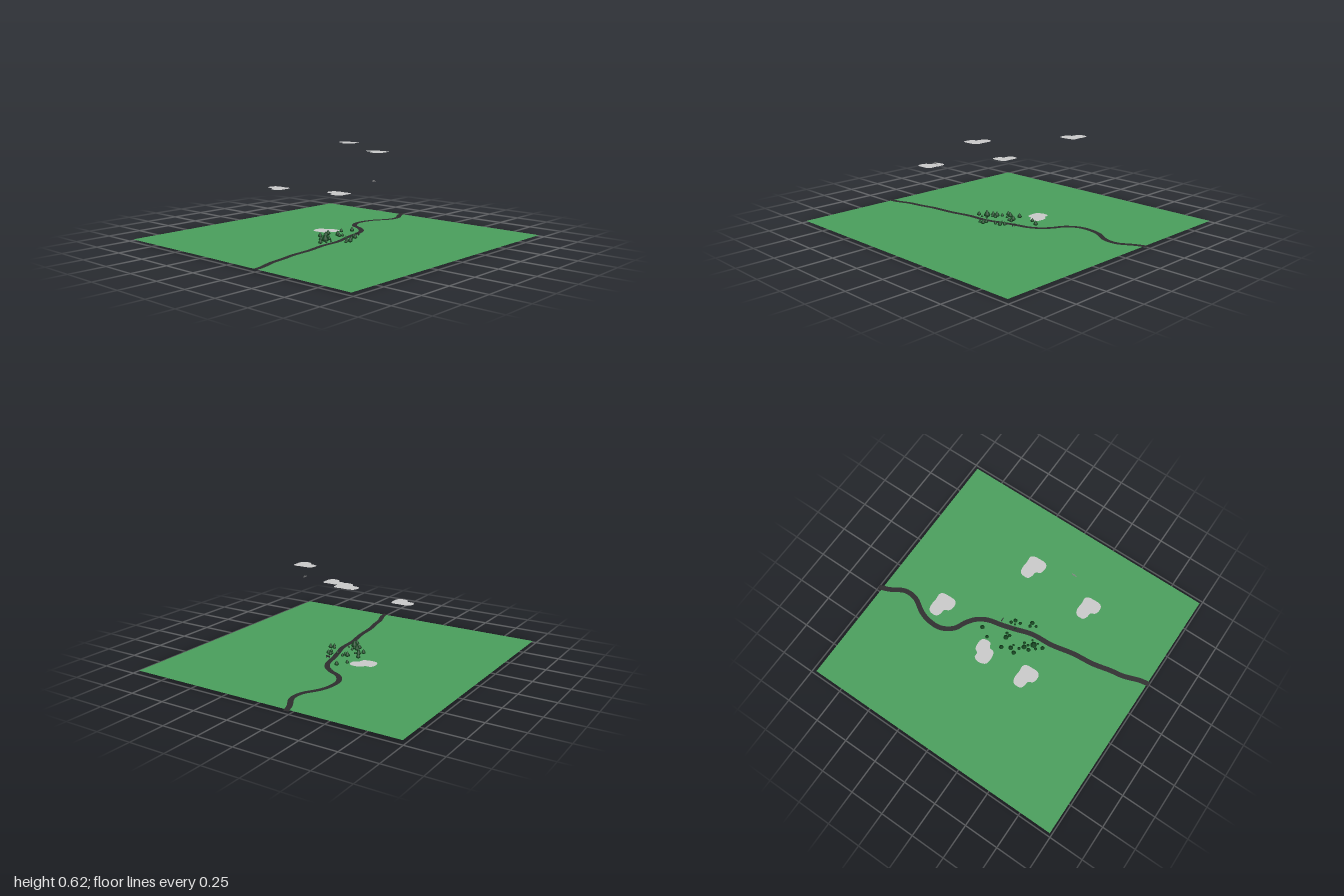
import * as THREE from 'three';

const mat = (name, color, side = THREE.FrontSide) => {
  const m = new THREE.MeshStandardMaterial({ color, side });
  m.name = name;
  return m;
};

const GROUND_Y = 0.01;

export function createModel() {
  const grass = mat('grass green', 0x4a9f5c, THREE.DoubleSide);
  const asphalt = mat('asphalt', 0x2e2c2e, THREE.DoubleSide);
  const cloudGrey = mat('cloud grey', 0xcacaca, THREE.DoubleSide);
  const foliage = mat('dark foliage', 0x14441f);
  const bark = mat('bark', 0x2f241b);
  const metal = mat('metal grey', 0x8a8a8a);

  const model = new THREE.Group();
  model.name = 'landscape';
  const add = (parent, name, geometry, material, x = 0, y = 0, z = 0) => {
    const mesh = new THREE.Mesh(geometry, material);
    mesh.name = name;
    mesh.position.set(x, y, z);
    parent.add(mesh);
    return mesh;
  };

  // Flat square field
  add(model, 'ground', new THREE.PlaneGeometry(1.955, 1.955).rotateX(-Math.PI / 2),
    grass, -0.0025, GROUND_Y, 0.0075);

  // Winding road: a flat ribbon swept along a curve
  const path = new THREE.CatmullRomCurve3([
    [-0.23, -1], [-0.2, -0.92], [-0.145, -0.82], [-0.148, -0.73], [-0.213, -0.615],
    [-0.235, -0.53], [-0.23, -0.44], [-0.175, -0.358], [-0.1, -0.32], [-0.035, -0.27],
    [0.008, -0.2], [0.032, -0.1], [0.06, 0], [0.097, 0.12], [0.108, 0.28], [0.14, 0.44],
    [0.156, 0.6], [0.183, 0.72], [0.2, 0.82], [0.238, 0.93], [0.25, 1],
  ].map(([x, z]) => new THREE.Vector3(x, 0, z)));
  const steps = 100, half = 0.018, positions = [], indices = [];
  for (let i = 0; i <= steps; i++) {
    const p = path.getPointAt(i / steps), t = path.getTangentAt(i / steps);
    for (const s of [-1, 1]) {
      positions.push(p.x + s * half * t.z, 0, THREE.MathUtils.clamp(p.z - s * half * t.x, -1, 1));
    }
    if (i < steps) {
      const a = 2 * i;
      indices.push(a, a + 2, a + 1, a + 1, a + 2, a + 3);
    }
  }
  const ribbon = new THREE.BufferGeometry();
  ribbon.setAttribute('position', new THREE.Float32BufferAttribute(positions, 3));
  ribbon.setIndex(indices);
  ribbon.computeVertexNormals();
  add(model, 'road', ribbon, asphalt, 0, GROUND_Y + 0.003, 0);

  // Flat clouds: outlines as x, z pairs around the cloud centre
  const cloudGeometry = (outline) => {
    const curve = new THREE.CatmullRomCurve3(
      outline.map(([x, z]) => new THREE.Vector3(x, -z, 0)), true);
    const shape = new THREE.Shape(curve.getPoints(48).map((p) => new THREE.Vector2(p.x, p.y)));
    return new THREE.ShapeGeometry(shape).rotateX(-Math.PI / 2);
  };
  const highCloud = cloudGeometry([
    [-0.079, -0.03], [-0.068, -0.053], [-0.035, -0.064], [0.015, -0.062], [0.058, -0.064],
    [0.075, -0.045], [0.079, -0.01], [0.077, 0.042], [0.058, 0.061], [0.025, 0.063],
    [0, 0.053], [-0.016, 0.026], [-0.048, 0.021], [-0.074, 0.008],
  ]);
  const lowCloud = cloudGeometry([
    [-0.083, 0], [-0.07, -0.03], [-0.032, -0.036], [-0.016, -0.06], [0.02, -0.071],
    [0.068, -0.065], [0.083, -0.035], [0.08, 0], [0.048, 0.018], [0.038, 0.055],
    [0, 0.07], [-0.06, 0.066], [-0.08, 0.035],
  ]);
  for (const [x, y, z, geometry] of [
    [-0.25, 0.615, -0.355, highCloud], [0.296, 0.615, -0.018, highCloud],
    [-0.28, 0.355, 0.317, highCloud], [0.339, 0.395, 0.402, highCloud],
    [-0.203, 0.016, -0.085, lowCloud],
  ]) add(model, 'cloud', geometry, cloudGrey, x, y, z);

  // Trees: teardrop crowns on short trunks, scaled by crown radius
  const crown = new THREE.LatheGeometry([
    [0, 0.1], [0.55, 0.16], [0.9, 0.38], [1, 0.65], [0.85, 1], [0.5, 1.55], [0.2, 2], [0, 2.25],
  ].map(([x, y]) => new THREE.Vector2(x, y)), 12);
  const trunk = new THREE.CylinderGeometry(0.14, 0.18, 0.9, 8).translate(0, -0.1, 0);
  const trees = [
    [-0.06, -0.198, 0.016], [-0.1, -0.13, 0.013], [-0.107, -0.002, 0.016], [-0.074, 0.056, 0.017],
    [-0.092, 0.093, 0.016], [-0.045, 0.06, 0.009], [-0.029, -0.016, 0.018], [0.003, -0.029, 0.011],
    [-0.003, -0.003, 0.013], [-0.045, 0.106, 0.012], [-0.016, 0.13, 0.018], [0.013, 0.114, 0.011],
    [0.011, 0.145, 0.011], [-0.016, 0.167, 0.015], [0.034, 0.177, 0.023], [0.019, 0.204, 0.011],
    [0.061, 0.151, 0.008], [0.061, 0.198, 0.008], [0.05, 0.241, 0.015], [0.087, -0.05, 0.013],
    [0.114, -0.032, 0.015], [0.09, -0.019, 0.008], [0.116, 0.008, 0.012], [0.061, 0.003, 0.009],
    [0.138, 0.077, 0.013], [0.167, 0.077, 0.016], [0.161, 0.114, 0.011],
  ];
  for (const [x, z, r] of trees) {
    const tree = new THREE.Group();
    tree.name = 'tree';
    add(tree, 'treeCrown', crown, foliage);
    add(tree, 'treeTrunk', trunk, bark);
    tree.position.set(x, GROUND_Y, z);
    tree.scale.setScalar(r);
    model.add(tree);
  }

  // Roadside board on two posts
  const sign = new THREE.Group();
  sign.name = 'roadsideSign';
  add(sign, 'signBoard', new THREE.BoxGeometry(0.03, 0.011, 0.004), asphalt, 0, 0.015, 0);
  for (const s of [-1, 1]) {
    add(sign, 'signPost', new THREE.BoxGeometry(0.002, 0.015, 0.002), asphalt, s * 0.011, 0.0075, 0);
  }
  sign.position.set(0.065, GROUND_Y, -0.113);
  model.add(sign);

  // Tiny aircraft high above the field
  const aircraft = new THREE.Group();
  aircraft.name = 'aircraft';
  for (const s of [-1, 1]) {
    add(aircraft, 'wing', new THREE.BoxGeometry(0.003, 0.002, 0.034), metal, 0, s * 0.004, 0);
  }
  add(aircraft, 'fuselage', new THREE.BoxGeometry(0.01, 0.006, 0.004), metal);
  aircraft.position.set(0.468, 0.463, 0.2);
  model.add(aircraft);

  return model;
}
